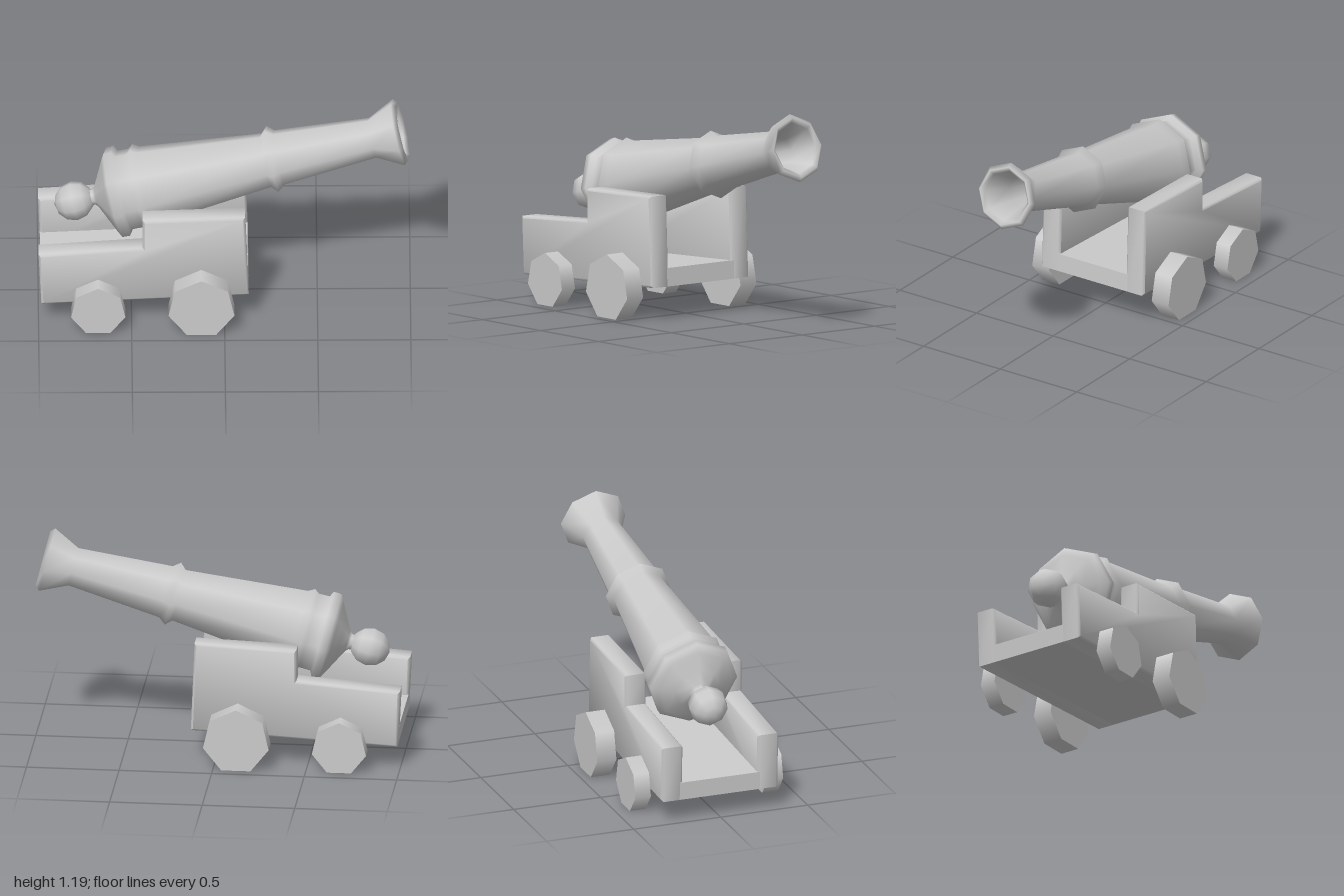
import * as THREE from 'three';
import { toCreasedNormals } from 'three/addons/utils/BufferGeometryUtils.js';

const grey = new THREE.MeshStandardMaterial({ color: 0xcccccc });
const TILT = THREE.MathUtils.degToRad(14);

function addMesh(parent, geometry, name) {
  const mesh = new THREE.Mesh(geometry, grey);
  mesh.name = name;
  parent.add(mesh);
  return mesh;
}

// Side outline extruded along z between z0 and z1, with softened edges
function slab(outline, z0, z1, bevel) {
  const shape = new THREE.Shape(outline.map(([x, y]) => new THREE.Vector2(x, y)));
  const geometry = new THREE.ExtrudeGeometry(shape, {
    depth: z1 - z0 - 2 * bevel,
    bevelEnabled: bevel > 0,
    bevelSize: bevel,
    bevelThickness: bevel,
    bevelOffset: -bevel,
    bevelSegments: 1,
  });
  geometry.translate(0, 0, z0 + bevel);
  return toCreasedNormals(geometry, 0.9);
}

function createCarriage() {
  const carriage = new THREE.Group();
  carriage.name = 'carriage';

  // Stepped cheeks, one on each side
  const cheek = [[-1, 0.445], [-0.985, 0.13], [0.13, 0.185], [0.11, 0.68], [-0.44, 0.66], [-0.44, 0.485]];
  addMesh(carriage, slab(cheek, 0.215, 0.335, 0.012), 'leftCheek');
  addMesh(carriage, slab(cheek, -0.335, -0.215, 0.012), 'rightCheek');

  // Sloping floor between the cheeks
  const floor = [[-0.99, 0.23], [-0.985, 0.13], [0.13, 0.185], [0.126, 0.285]];
  addMesh(carriage, slab(floor, -0.23, 0.23, 0), 'floor');
  return carriage;
}

function createBarrel() {
  const barrel = new THREE.Group();
  barrel.name = 'barrel';

  // Radius and distance along the bore axis, with the muzzle face at zero
  const profile = [
    [0.04, -1.78], [0.045, -1.70], [0.06, -1.685], [0.13, -1.65], [0.21, -1.61], // neck, breech
    [0.25, -1.588], [0.252, -1.546], [0.22, -1.53],                             // base ring
    [0.219, -1.47], [0.239, -1.445], [0.218, -1.41],                            // rear band
    [0.15, -0.746], [0.184, -0.712], [0.152, -0.673],                           // middle band
    [0.111, -0.158], [0.185, -0.012], [0.162, 0.011],                           // flared muzzle
    [0.138, -0.01], [0.088, -0.16], [0.085, -0.6], [0, -0.6],                   // bore
  ].map(([r, t]) => new THREE.Vector2(r, t));
  addMesh(barrel, new THREE.LatheGeometry(profile, 8), 'tube');

  // Ball at the breech end
  const ball = addMesh(barrel, new THREE.SphereGeometry(0.108, 8, 6), 'breechBall');
  ball.position.y = -1.81;

  barrel.position.set(0.95, 1.015, 0);
  barrel.rotation.z = TILT - Math.PI / 2;
  return barrel;
}

export function createModel() {
  const cannon = new THREE.Group();
  cannon.name = 'cannon';
  cannon.add(createCarriage(), createBarrel());

  // Seven-sided wheels, larger pair under the muzzle end
  const wheels = [
    { name: 'muzzleWheel', x: -0.125, y: 0.168, radius: 0.182, width: 0.11 },
    { name: 'breechWheel', x: -0.68, y: 0.14, radius: 0.15, width: 0.09 },
  ];
  for (const { name, x, y, radius, width } of wheels) {
    for (const side of [1, -1]) {
      const geometry = new THREE.CylinderGeometry(radius, radius, width, 7);
      geometry.rotateX(-Math.PI / 2);
      const wheel = addMesh(cannon, geometry, (side > 0 ? 'left ' : 'right ') + name);
      wheel.position.set(x, y, side * (0.335 + width / 2));
    }
  }
  return cannon;
}
